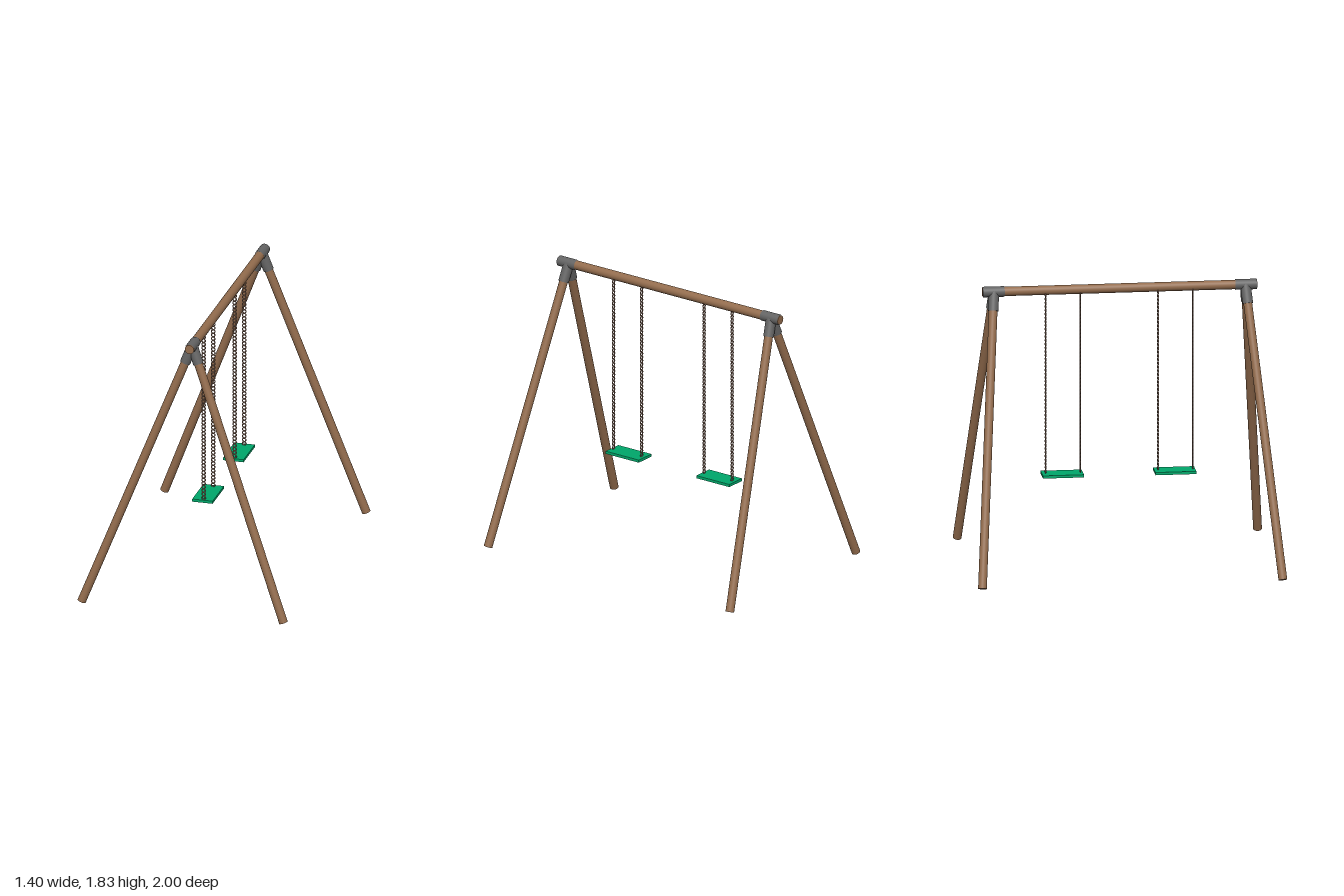
import * as THREE from 'three';
import { mergeGeometries } from 'three/addons/utils/BufferGeometryUtils.js';

const material = (name, color) => {
  const m = new THREE.MeshStandardMaterial({ color });
  m.name = name;
  return m;
};

// Cylinder running between two points
function pole(name, from, to, radius, mat) {
  const dir = to.clone().sub(from);
  const mesh = new THREE.Mesh(new THREE.CylinderGeometry(radius, radius, dir.length(), 32), mat);
  mesh.name = name;
  mesh.position.copy(from).add(to).multiplyScalar(0.5);
  mesh.quaternion.setFromUnitVectors(new THREE.Vector3(0, 1, 0), dir.normalize());
  return mesh;
}

export function createModel() {
  const wood = material('wood', 0x946d4e);
  const steel = material('grey steel', 0x646464);
  const chainMetal = material('chain metal', 0x8c6c5a);
  const plastic = material('green plastic', 0x00a86b);
  const V = (x, y, z) => new THREE.Vector3(x, y, z);

  const model = new THREE.Group();
  model.name = 'swingSet';
  const apexX = 0.021, apexY = 1.798;

  // Top beam, its ends showing inside the brackets
  model.add(pole('topBeam', V(apexX, apexY, -0.887), V(apexX, apexY, 0.887), 0.03, wood));

  // A-frames: a bracket sleeve round the beam and two splayed legs in sockets
  for (const s of [1, -1]) {
    const frame = new THREE.Group();
    frame.name = s > 0 ? 'frontFrame' : 'backFrame';
    const sleeve = new THREE.Mesh(new THREE.CylinderGeometry(0.034, 0.034, 0.14, 32, 1, true), steel);
    sleeve.name = 'beamSleeve';
    sleeve.rotation.x = Math.PI / 2;
    sleeve.position.set(apexX, apexY, s * 0.816);
    frame.add(sleeve);
    const apex = V(apexX, apexY, s * 0.813);
    for (const footX of [-0.673, 0.673]) {
      const foot = V(footX, 0.011, s * 0.971);
      frame.add(pole('leg', apex.clone().lerp(foot, 0.02), foot, 0.028, wood));
      frame.add(pole('legSocket', apex, apex.clone().lerp(foot, 0.065), 0.034, steel));
    }
    model.add(frame);
  }

  // Swings: a flat seat hung on two chains of round links
  const bottom = 0.592, top = 1.78, count = 48;
  const pitch = (top - bottom) / count;
  const links = [];
  for (let i = 0; i < count; i++) {
    const link = new THREE.TorusGeometry(pitch / 2 - 0.001, 0.004, 8, 16);
    links.push(link.translate(0, bottom + (i + 0.5) * pitch, 0));
  }
  const chainGeometry = mergeGeometries(links);

  for (const [name, z] of [['frontSwing', 0.353], ['backSwing', -0.374]]) {
    const swing = new THREE.Group();
    swing.name = name;
    swing.position.z = z;
    const seat = new THREE.Mesh(new THREE.BoxGeometry(0.136, 0.018, 0.265), plastic);
    seat.name = 'seat';
    seat.position.set(-0.006, 0.584, 0);
    swing.add(seat);
    for (const side of [1, -1]) {
      const chain = new THREE.Mesh(chainGeometry, chainMetal);
      chain.name = 'chain';
      chain.position.set(-0.002, 0, 0.005 + side * 0.1125);
      swing.add(chain);
    }
    model.add(swing);
  }
  return model;
}
